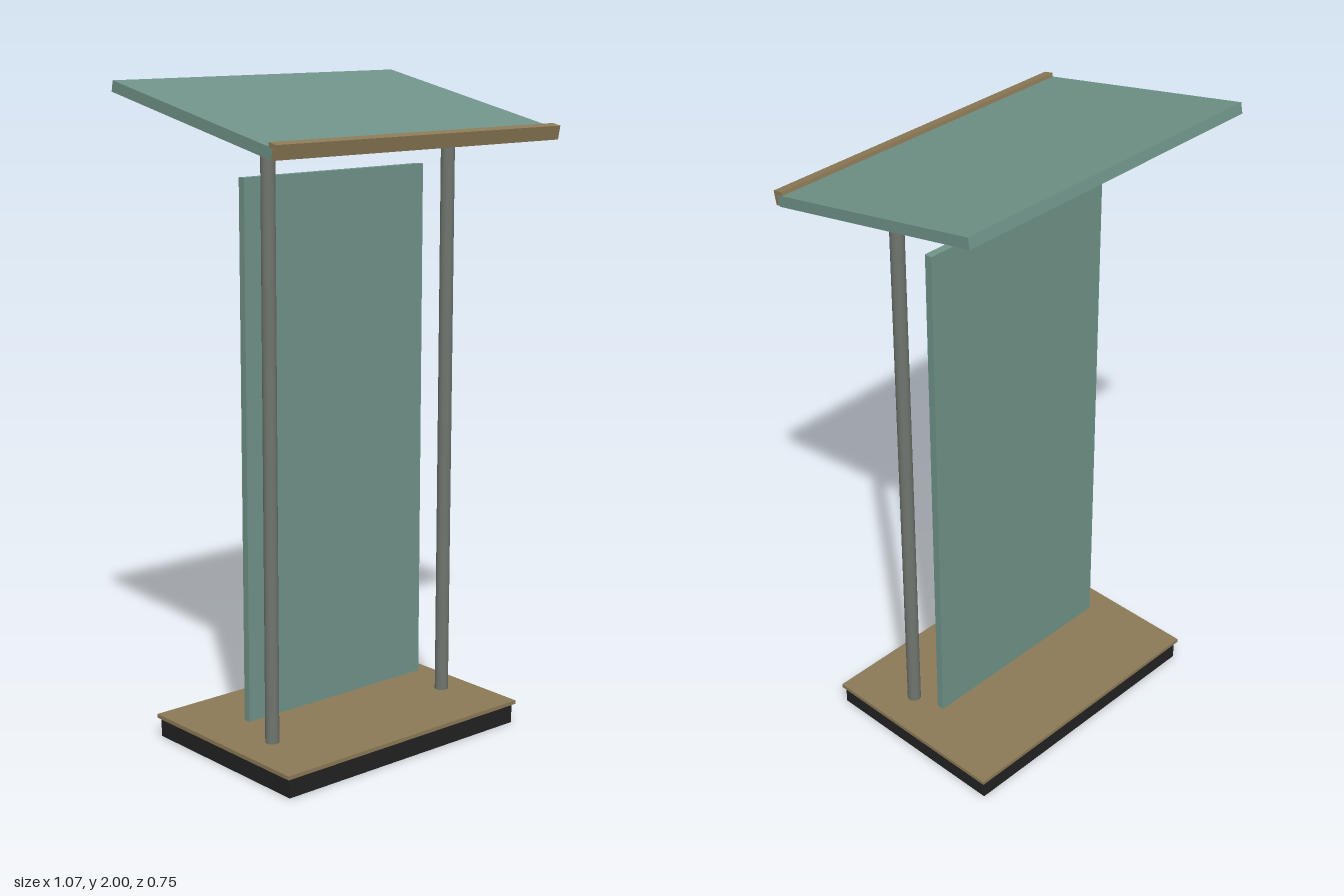
import * as THREE from 'three';

const mat = (name, color) => {
  const m = new THREE.MeshStandardMaterial({ color });
  m.name = name;
  return m;
};

export function createModel() {
  const glass = mat('green glass', 0x6f9388);
  const wood = mat('tan wood', 0x8c7a56);
  const metal = mat('grey metal', 0x70756f);
  const black = mat('black plinth', 0x222222);

  const model = new THREE.Group();
  model.name = 'lectern';

  const add = (parent, name, geometry, material, x, y, z) => {
    const mesh = new THREE.Mesh(geometry, material);
    mesh.name = name;
    mesh.position.set(x, y, z);
    parent.add(mesh);
    return mesh;
  };
  const box = (w, h, d) => new THREE.BoxGeometry(w, h, d);

  // Base: dark plinth with a slightly wider wooden board
  add(model, 'plinth', box(0.9, 0.06, 0.624), black, 0, 0.03, -0.005);
  add(model, 'baseBoard', box(0.92, 0.012, 0.638), wood, 0, 0.066, -0.005);

  // Upright panel, floating just above the base
  add(model, 'frontPanel', box(0.69, 1.626, 0.024), glass, 0, 0.923, -0.022);

  // Two posts, each with a mounting disc under the desk
  for (const side of [1, -1]) {
    const prefix = side > 0 ? 'left' : 'right';
    add(model, prefix + 'Post', new THREE.CylinderGeometry(0.021, 0.021, 1.75, 32), metal, side * 0.345, 0.955, 0.098);
    add(model, prefix + 'MountDisc', new THREE.CylinderGeometry(0.036, 0.036, 0.028, 32), wood, side * 0.345, 1.865, 0.098);
  }

  // Tilted reading desk with an L-shaped book stop along its front edge
  const desk = new THREE.Group();
  desk.name = 'readingDesk';
  desk.position.set(0, 1.91, -0.008);
  desk.rotation.x = 0.2;
  model.add(desk);
  const width = 1.074;
  add(desk, 'deskTop', box(width, 0.033, 0.742), glass, 0, 0, 0);
  add(desk, 'bookStopFront', box(width, 0.042, 0.013), wood, 0, 0.0075, 0.3775);
  add(desk, 'bookStopLip', box(width, 0.012, 0.018), wood, 0, 0.0225, 0.362);

  return model;
}
